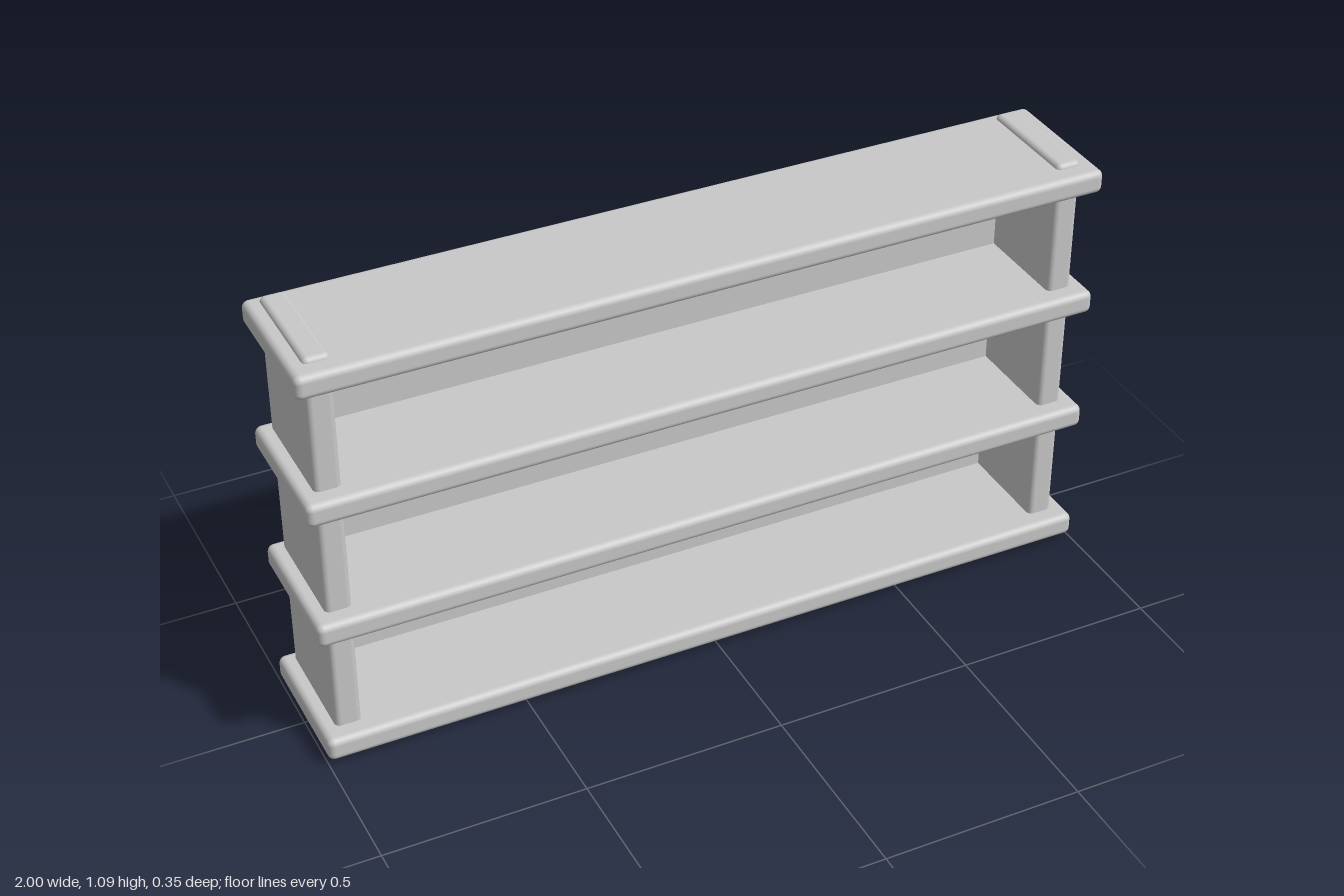
import * as THREE from 'three';
import { RoundedBoxGeometry } from 'three/addons/geometries/RoundedBoxGeometry.js';

export function createModel() {
  const group = new THREE.Group();
  group.name = 'shelfUnit';
  const grey = new THREE.MeshStandardMaterial({ color: 0xc8c8c8 });
  grey.name = 'light grey';

  const add = (name, geometry, x, y, z) => {
    const mesh = new THREE.Mesh(geometry, grey);
    mesh.name = name;
    mesh.position.set(x, y, z);
    group.add(mesh);
  };

  // Four evenly spaced boards with rounded edges
  const shelfGeometry = new RoundedBoxGeometry(2, 0.06, 0.355, 4, 0.017);
  for (let i = 0; i < 4; i++) add('shelf' + (i + 1), shelfGeometry, 0, 0.043 + i * 0.3335, 0);

  // Uprights pass through the boards and stand slightly proud at both ends
  const uprightGeometry = new RoundedBoxGeometry(0.064, 1.085, 0.288, 4, 0.014);
  add('leftUpright', uprightGeometry, 0.932, 0.5425, -0.014);
  add('rightUpright', uprightGeometry, -0.932, 0.5425, -0.014);

  // Back panel set between the uprights
  add('backPanel', new THREE.BoxGeometry(1.83, 1.02, 0.03), 0, 0.5425, -0.136);

  return group;
}
